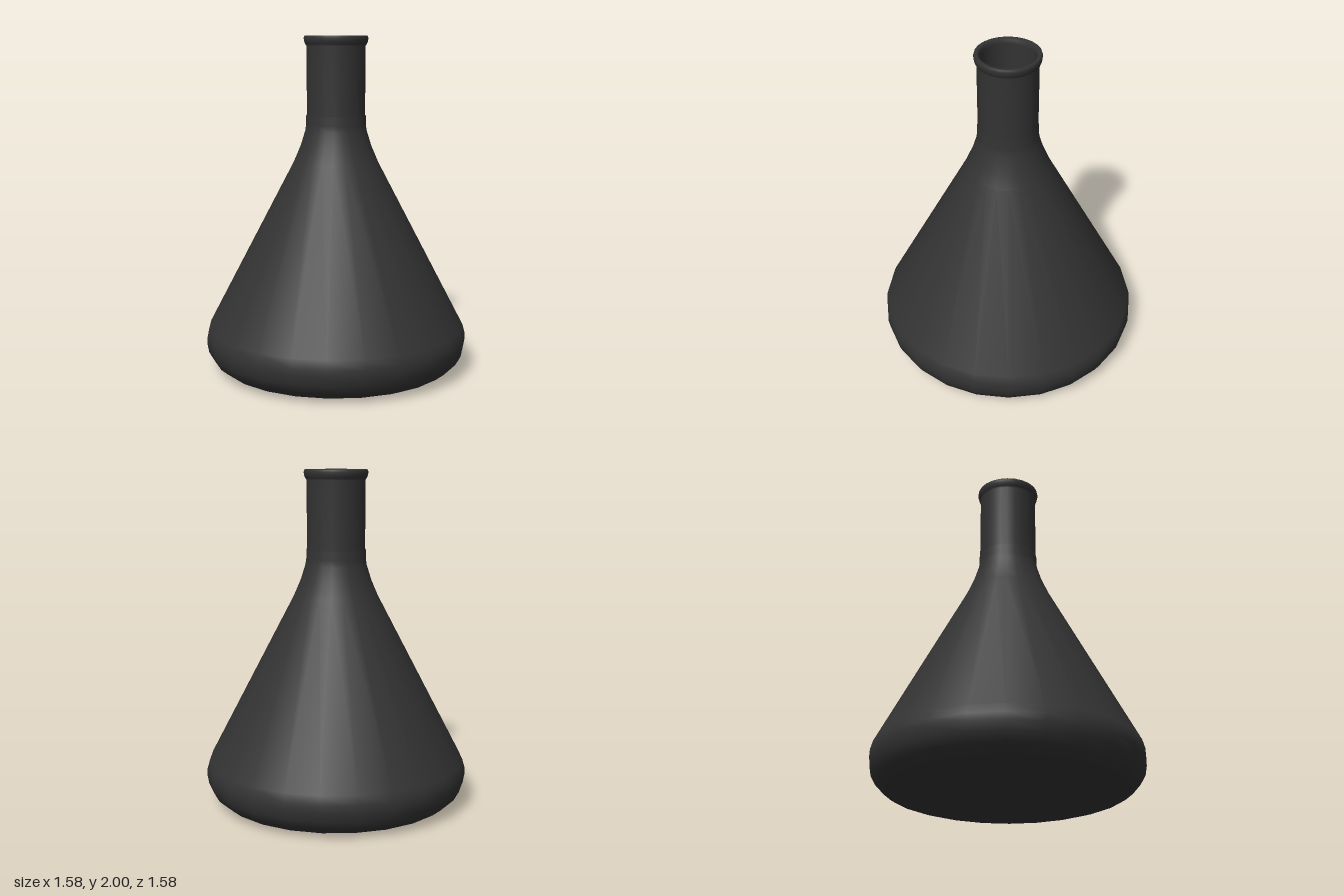
import * as THREE from 'three';

const SIDES = 24;
const points = (list) => list.map(([r, y]) => new THREE.Vector2(r, y));

function turned(name, list, color) {
  const mesh = new THREE.Mesh(
    new THREE.LatheGeometry(points(list), SIDES),
    new THREE.MeshStandardMaterial({ color })
  );
  mesh.name = name;
  return mesh;
}

export function createModel() {
  const group = new THREE.Group();
  group.name = 'conicalFlask';

  // Outer wall, from the base centre up to the rim
  const outer = [
    [0, 0], [0.6, 0], [0.645, 0.004], [0.7, 0.022], [0.75, 0.062], [0.78, 0.115],
    [0.79, 0.17], [0.788, 0.21], [0.774, 0.26],
    [0.255, 1.25], [0.212, 1.35], [0.184, 1.44], [0.178, 1.48], [0.178, 1.53],
    [0.174, 1.535], [0.174, 1.94],
  ];
  // Flared lip
  const lip = [[0.182, 1.95], [0.189, 1.968], [0.191, 1.985], [0.188, 1.998], [0.183, 2], [0.168, 2], [0.16, 1.993]];
  // Inner wall, back down to the floor
  const inner = [
    [0.157, 1.97], [0.157, 1.48], [0.165, 1.43], [0.192, 1.34], [0.235, 1.24],
    [0.752, 0.25], [0.768, 0.17], [0.755, 0.11], [0.7, 0.05], [0.62, 0.025], [0, 0.025],
  ];
  group.add(turned('flaskBody', [...outer, ...lip, ...inner], 0x333333));

  // Liquid filling the lower part of the flask
  group.add(turned('liquid', [
    [0, 0.03], [0.61, 0.03], [0.69, 0.055], [0.745, 0.113], [0.758, 0.17], [0.742, 0.25], [0.508, 0.698],
  ], 0x5cb85c));

  // Flat liquid surface
  const surface = new THREE.Mesh(
    new THREE.CircleGeometry(0.508, SIDES).rotateX(-Math.PI / 2),
    new THREE.MeshStandardMaterial({ color: 0x5cb85c })
  );
  surface.name = 'liquidSurface';
  surface.position.y = 0.698;
  group.add(surface);

  return group;
}
